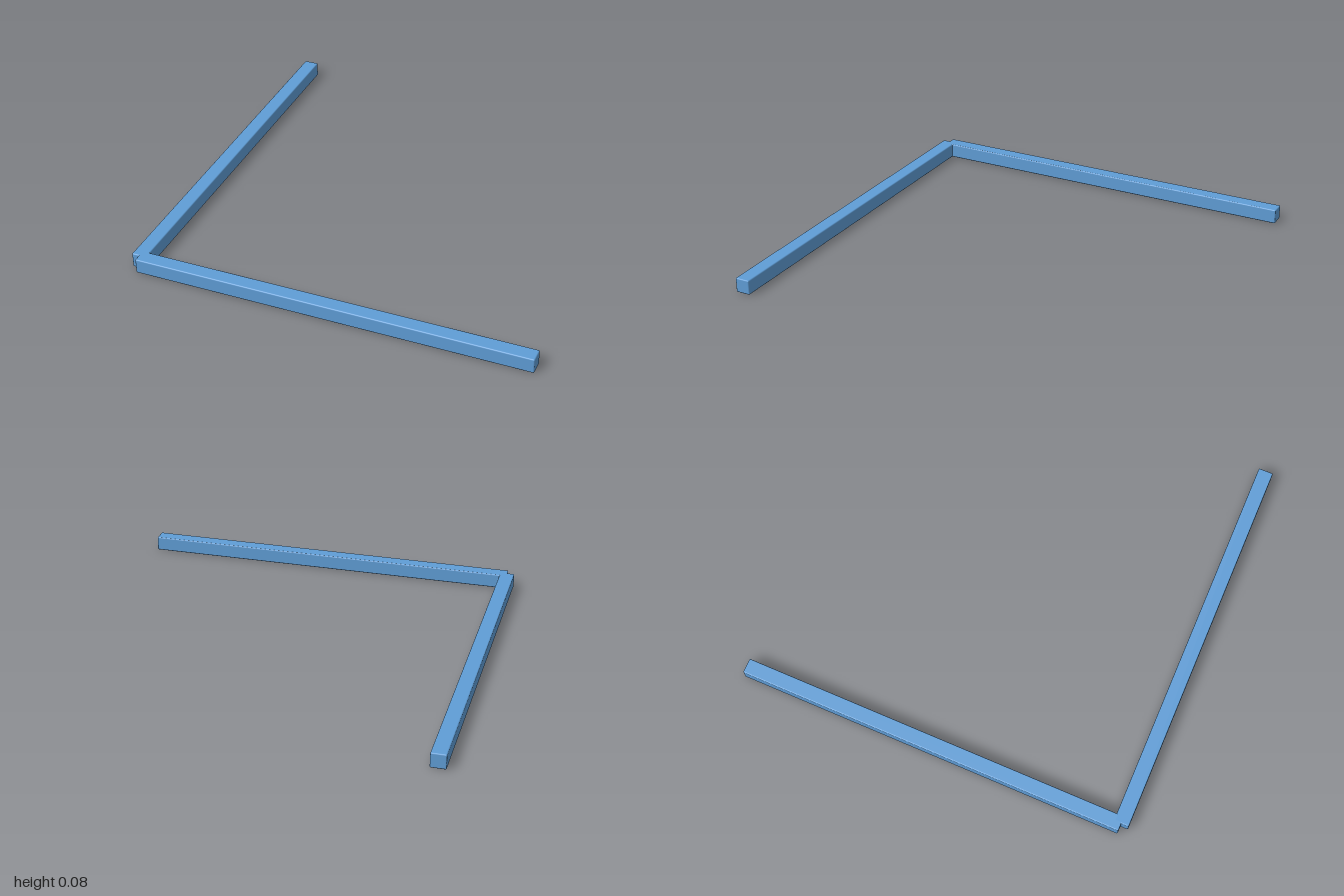
import * as THREE from 'three';
import { RoundedBoxGeometry } from 'three/addons/geometries/RoundedBoxGeometry.js';

const THICK = 0.075; // square section of both bars
const LENGTH = 1.9625; // each bar reaches half a thickness short of the outer corner
const BEVEL = 0.006;

export function createModel() {
  const model = new THREE.Group();
  model.name = 'cornerFrame';
  const material = new THREE.MeshStandardMaterial({ color: 0x5f9dd6 });

  function addBar(name, width, depth, x, z) {
    const bar = new THREE.Mesh(new RoundedBoxGeometry(width, THICK, depth, 2, BEVEL), material);
    bar.name = name;
    bar.position.set(x, THICK / 2, z);
    model.add(bar);
  }

  // Two equal bars overlapping at the front right corner, with a small outer notch
  const edge = 1 - THICK / 2;
  const shift = 1 - LENGTH / 2;
  addBar('frontBar', LENGTH, THICK, shift, edge);
  addBar('sideBar', THICK, LENGTH, -edge, -shift);

  return model;
}
